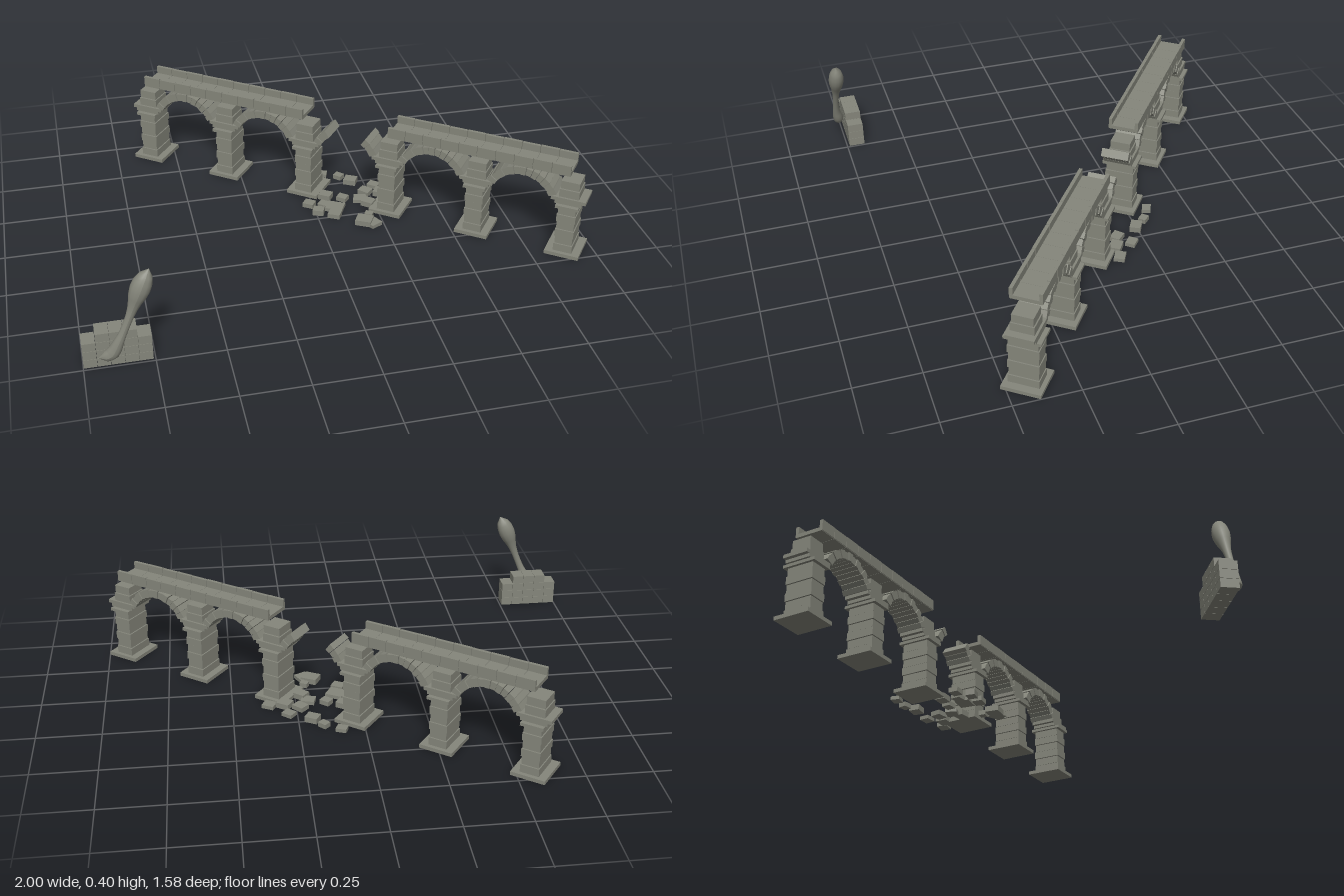
import * as THREE from 'three';

const stone = new THREE.MeshStandardMaterial({ color: 0x85867b });
stone.name = 'weathered stone';

const STEP = 0.369;       // distance between piers
const R_IN = 0.12, R_OUT = 0.153, ARCH_Y = 0.197, SPRING = 1.13;

function add(parent, geometry, name, x = 0, y = 0, z = 0) {
  const mesh = new THREE.Mesh(geometry, stone);
  mesh.name = name;
  mesh.position.set(x, y, z);
  parent.add(mesh);
  return mesh;
}

// box given by its bottom and top heights
function block(parent, name, w, y0, y1, d, x = 0, z = 0) {
  return add(parent, new THREE.BoxGeometry(w, y1 - y0, d), name, x, (y0 + y1) / 2, z);
}

function pier(x) {
  const g = new THREE.Group();
  g.name = 'pier';
  g.position.x = x;
  block(g, 'pierBase', 0.135, 0, 0.015, 0.149);
  // courses of alternating width
  const h = 0.2 / 6;
  for (let i = 0; i < 6; i++) {
    const s = i % 2 ? -0.006 : 0;
    block(g, 'pierCourse', 0.074 + s, 0.015 + i * h, 0.015 + (i + 1) * h - 0.002, 0.117 + s);
  }
  block(g, 'pierCore', 0.06, 0.015, 0.215, 0.105);
  block(g, 'capital', 0.089, 0.213, 0.225, 0.139);
  // springing stones and the stack above
  block(g, 'springer', 0.105, 0.225, 0.238, 0.105);
  block(g, 'springer', 0.135, 0.238, 0.252, 0.105);
  block(g, 'upperCourse', 0.078, 0.252, 0.285, 0.088);
  block(g, 'upperCourse', 0.072, 0.287, 0.32, 0.08);
  return g;
}

// wedge stone between two angles from the crown
function voussoir(a, b, depth, rOut) {
  const p = (r, t) => new THREE.Vector2(r * Math.sin(t), r * Math.cos(t));
  const shape = new THREE.Shape([p(R_IN, a), p(R_IN, b), p(rOut, b), p(rOut, a)]);
  const geo = new THREE.ExtrudeGeometry(shape, { depth, bevelEnabled: false });
  return geo.translate(0, 0, -depth / 2);
}

// ring of stones from index first to last, out of 13
function arch(x, first = 0, last = 12) {
  const g = new THREE.Group();
  g.name = 'arch';
  g.position.set(x, ARCH_Y, 0);
  const da = 2 * SPRING / 13;
  for (let i = first; i <= last; i++) {
    const a = -SPRING + i * da;
    const odd = i % 2;
    add(g, voussoir(a + 0.006, a + da - 0.006, odd ? 0.104 : 0.11, R_OUT - odd * 0.003), 'archStone');
  }
  return g;
}

// open water channel of ten slabs with low side walls
function channel() {
  const g = new THREE.Group();
  g.name = 'channel';
  const n = 10, w = 2 * STEP / n;
  for (let i = 0; i < n; i++) {
    const x = (i - (n - 1) / 2) * w;
    block(g, 'channelFloor', w - 0.001, 0.355, 0.37, 0.116, x);
    for (const s of [-1, 1]) {
      block(g, 'channelWall', w - 0.002, 0.357, 0.4 - (i % 2) * 0.001, 0.013, x, s * 0.0535);
    }
  }
  return g;
}

// two-arch stretch; brokenSide tells which end has the snapped arch
function stretch(brokenSide) {
  const g = new THREE.Group();
  g.name = 'aqueductStretch';
  for (const i of [-1, 0, 1]) g.add(pier(i * STEP));
  for (const s of [-1, 1]) g.add(arch(s * STEP / 2));
  g.add(brokenSide > 0 ? arch(1.5 * STEP, 0, 2) : arch(-1.5 * STEP, 10, 12));
  g.add(channel());
  g.position.x = -brokenSide * 1.5 * STEP;
  return g;
}

// club with swelling ends: tube whose rings are resized along the path
function club() {
  const curve = new THREE.CatmullRomCurve3([
    [-0.945, 0.05, 0.757], [-0.9, 0.065, 0.76], [-0.87, 0.12, 0.768], [-0.835, 0.2, 0.769],
    [-0.803, 0.28, 0.766], [-0.775, 0.345, 0.763], [-0.75, 0.398, 0.763],
  ].map(p => new THREE.Vector3(...p)));
  const radii = [0, 0.021, 0.025, 0.022, 0.018, 0.015, 0.014, 0.014, 0.015, 0.018, 0.024, 0.032, 0.036, 0.034, 0.025, 0];
  const rings = 30, sides = 14;
  const geo = new THREE.TubeGeometry(curve, rings, 1, sides);
  const pos = geo.attributes.position, v = new THREE.Vector3();
  for (let i = 0; i <= rings; i++) {
    const c = curve.getPointAt(i / rings);
    const t = i / rings * (radii.length - 1), k = Math.min(Math.floor(t), radii.length - 2);
    const r = Math.max(0.0005, THREE.MathUtils.lerp(radii[k], radii[k + 1], t - k));
    for (let j = 0; j <= sides; j++) {
      const n = i * (sides + 1) + j;
      v.fromBufferAttribute(pos, n).sub(c).multiplyScalar(r);
      v.z *= 0.88;
      v.add(c);
      pos.setXYZ(n, v.x, v.y, v.z);
    }
  }
  geo.computeVertexNormals();
  return geo;
}

export function createModel() {
  const model = new THREE.Group();
  model.name = 'ruinedAqueduct';

  // two stretches on one diagonal line with a gap between them
  const line = new THREE.Group();
  line.name = 'aqueduct';
  line.position.set(0.1625, 0, -0.136);
  line.rotation.y = -0.643;
  line.add(stretch(1), stretch(-1));
  model.add(line);

  // fallen stones: x, z, size, turn
  const rubble = new THREE.Group();
  rubble.name = 'rubble';
  const fallen = [
    [0.09, -0.33, 0.042, 0.4], [0.155, -0.293, 0.037, 0.8], [0.195, -0.245, 0.052, 0.5],
    [0.283, -0.195, 0.046, 0.7], [-0.015, -0.105, 0.045, 0.6], [0.01, -0.04, 0.045, 0.4],
    [0.085, -0.06, 0.07, 0.5], [0.13, -0.12, 0.042, 0.7], [0.065, -0.15, 0.05, 0.6],
    [0.2, -0.1, 0.055, 0.3], [0.235, -0.15, 0.05, 0.8], [0.295, -0.125, 0.055, 0.6],
    [0.355, -0.12, 0.05, 0.5], [0.205, 0.028, 0.032, 0.5], [0.175, 0.07, 0.065, 0.5],
    [0.205, 0.085, 0.06, 1.1], [0.07, -0.005, 0.05, 0.5], [0.225, -0.06, 0.05, 0.7],
    [0.045, -0.09, 0.045, 0.7],
  ];
  fallen.forEach(([x, z, s, turn], i) => {
    const top = 0.015 + (i % 3) * 0.004;
    block(rubble, 'fallenStone', s, 0, top, s * 0.85, x, z).rotation.y = -turn;
  });
  model.add(rubble);

  // stacked stone blocks
  const pile = new THREE.Group();
  pile.name = 'blockPile';
  const w = 0.0485;
  for (let row = 0; row < 4; row++) {
    const count = row === 3 ? 3 : 5;
    for (let i = 0; i < count; i++) {
      const x = -0.878 + (i - (count - 1) / 2) * w;
      block(pile, 'pileBlock', w - 0.001, row * 0.0347, row * 0.0347 + 0.0335, 0.065, x, 0.707);
    }
  }
  model.add(pile);

  // club leaning on the pile
  add(model, club(), 'club');
  return model;
}
